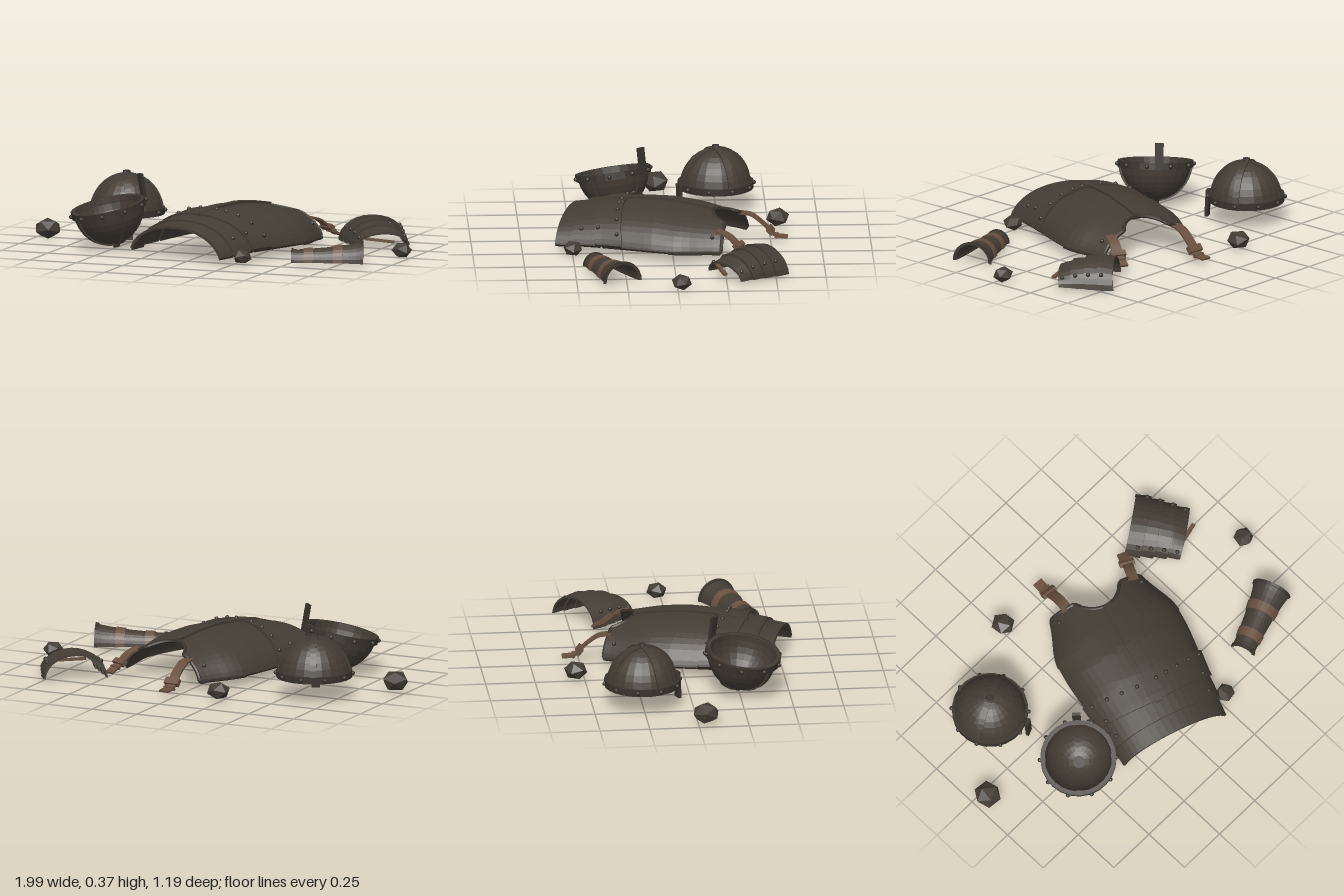
import * as THREE from 'three';

const mat = (name, color) => {
  const m = new THREE.MeshStandardMaterial({ color });
  m.name = name;
  m.flatShading = true;
  return m;
};

// Piecewise linear lookup through [x, y] pairs
const lookup = (keys, x) => {
  let i = 0;
  while (i < keys.length - 2 && x > keys[i + 1][0]) i++;
  const [x0, y0] = keys[i], [x1, y1] = keys[i + 1];
  return y0 + (y1 - y0) * THREE.MathUtils.clamp((x - x0) / (x1 - x0), 0, 1);
};

// Closed sheet: f(a, b, h) gives a point, a in -1..1, b in 0..1, h the height above the inner face
function sheet(f, na, nb, lo, hi) {
  const pos = [], idx = [], layer = (na + 1) * (nb + 1);
  for (const h of [hi, lo])
    for (let j = 0; j <= nb; j++)
      for (let i = 0; i <= na; i++) pos.push(...f(-1 + 2 * i / na, j / nb, h));
  const O = (i, j) => j * (na + 1) + i, I = (i, j) => O(i, j) + layer;
  const quad = (a, b, c, d) => idx.push(a, b, c, a, c, d);
  for (let j = 0; j < nb; j++)
    for (let i = 0; i < na; i++) {
      quad(O(i, j), O(i + 1, j), O(i + 1, j + 1), O(i, j + 1));
      quad(I(i, j + 1), I(i + 1, j + 1), I(i + 1, j), I(i, j));
    }
  for (let i = 0; i < na; i++) {
    quad(I(i, 0), I(i + 1, 0), O(i + 1, 0), O(i, 0));
    quad(O(i, nb), O(i + 1, nb), I(i + 1, nb), I(i, nb));
  }
  for (let j = 0; j < nb; j++) {
    quad(I(na, j), I(na, j + 1), O(na, j + 1), O(na, j));
    quad(O(0, j), O(0, j + 1), I(0, j + 1), I(0, j));
  }
  const g = new THREE.BufferGeometry();
  g.setAttribute('position', new THREE.Float32BufferAttribute(pos, 3));
  g.setIndex(idx);
  g.computeVertexNormals();
  return g;
}

function add(parent, name, geo, material, p = [0, 0, 0], r = [0, 0, 0]) {
  const m = new THREE.Mesh(geo, material);
  m.name = name;
  m.position.set(...p);
  m.rotation.set(...r);
  parent.add(m);
  return m;
}

function group(parent, name, p, yaw = 0) {
  const g = new THREE.Group();
  g.name = name;
  g.position.set(...p);
  g.rotation.y = yaw;
  parent.add(g);
  return g;
}

export function createModel() {
  const root = new THREE.Group();
  root.name = 'scatteredArmour';
  const iron = mat('darkIron', 0x433c33);
  const trim = mat('ironTrim', 0x38322b);
  const leather = mat('leather', 0x68503f);
  const rivetGeo = new THREE.IcosahedronGeometry(0.011, 1);
  const rivet = (parent, p) => add(parent, 'rivet', rivetGeo, trim, p);

  // Breastplate lying on its back face
  const chest = group(root, 'breastplate', [-0.063, 0, 0.5], -0.305);
  const halfWidth = [[0, 0.287], [0.1, 0.293], [0.25, 0.302], [0.35, 0.312], [0.5, 0.326], [0.62, 0.326],
    [0.68, 0.31], [0.74, 0.285], [0.8, 0.262], [0.86, 0.243]];
  const crown = [[0, 0.15], [0.1, 0.167], [0.2, 0.183], [0.35, 0.2], [0.5, 0.203], [0.65, 0.186], [0.75, 0.168], [0.86, 0.15]];
  const onChest = (t, v, h) => {
    const arch = Math.pow(1 - Math.pow(Math.abs(t) * 0.99, 2.2), 0.55);
    return [t * lookup(halfWidth, v) * (1 + h / 0.3), 0.022 + lookup(crown, v) * arch + h, -v];
  };
  const neckline = t => Math.abs(t) < 0.5 ? 0.745 + 0.36 * t * t : 0.82 + 0.03 * Math.abs(t);
  const chestPlate = (name, low, high, rows, lift, span = 1) =>
    add(chest, name, sheet((a, b, h) => {
      const t = Math.sin(a * Math.PI / 2) * span;
      return onChest(t, low(t) + (high(t) - low(t)) * b, h);
    }, span < 1 ? 2 : 24, rows, lift, lift + 0.012), iron);
  chestPlate('chestShell', t => 0.2 + 0.05 * t * t, neckline, 16, 0);
  chestPlate('waistPlate', t => 0.175 + 0.04 * t * t, t => 0.3 + 0.055 * t * t, 4, 0.01);
  chestPlate('middleLame', () => 0.085, t => 0.2 + 0.04 * t * t, 4, 0.001);
  chestPlate('lowerLame', () => 0, () => 0.1, 4, -0.008);
  chestPlate('centreRidge', () => 0.165, () => 0.745, 14, 0.013, 0.05);
  chestPlate('innerRidge', () => 0.21, () => 0.745, 14, -0.006, 0.07);
  const edge = [];
  for (const v of [0.6, 0.65, 0.7, 0.75, 0.8]) edge.push(onChest(1, v, 0.008));
  for (let i = 12; i >= -12; i--) {
    const t = Math.sin(i / 12 * Math.PI / 2);
    edge.push(onChest(t, neckline(t), 0.008));
  }
  for (const v of [0.8, 0.75, 0.7, 0.65, 0.6]) edge.push(onChest(-1, v, 0.008));
  const edgeCurve = new THREE.CatmullRomCurve3(edge.map(p => new THREE.Vector3(...p)), false, 'centripetal');
  add(chest, 'rolledEdge', new THREE.TubeGeometry(edgeCurve, 90, 0.01, 6), trim);
  for (const t of [-0.9, -0.68, -0.45, -0.2, 0.12, 0.3, 0.5, 0.72, 0.92])
    rivet(chest, onChest(t, 0.278 + 0.055 * t * t, 0.023));
  for (const t of [-0.85, 0.85]) {
    rivet(chest, onChest(t, 0.13, 0.014));
    rivet(chest, onChest(t, 0.22, 0.023));
    rivet(chest, onChest(t, 0.8, 0.014));
  }

  // Shoulder straps trailing from the breastplate
  const strap = (name, pts, width, buckleAt) => {
    const g = group(root, name, [0, 0, 0]);
    const curve = new THREE.CatmullRomCurve3(pts.map(p => new THREE.Vector3(...p)));
    const ribbon = (w, s, e, rows, lo, hi) => sheet((a, b, h) => {
      const k = s + (e - s) * b, p = curve.getPoint(k), d = curve.getTangent(k);
      const side = new THREE.Vector3(-d.z, 0, d.x).normalize();
      p.addScaledVector(side, a * w / 2).addScaledVector(side.cross(d), h);
      return p.toArray();
    }, 1, rows, lo, hi);
    add(g, 'strapBand', ribbon(width, 0, 1, 14, 0, 0.01), leather);
    add(g, 'buckle', ribbon(width + 0.026, buckleAt, buckleAt + 0.13, 2, -0.006, 0.02), leather);
    add(g, 'keeper', ribbon(width + 0.008, buckleAt + 0.2, buckleAt + 0.25, 1, -0.004, 0.014), leather);
  };
  strap('rightShoulderStrap', [[0.025, 0.145, -0.34], [0.035, 0.138, -0.4], [0.045, 0.085, -0.47], [0.05, 0.035, -0.52], [0.055, 0.025, -0.585]], 0.053, 0.56);
  strap('leftShoulderStrap', [[0.37, 0.145, -0.22], [0.4, 0.125, -0.275], [0.43, 0.075, -0.33], [0.455, 0.04, -0.385]], 0.053, 0.55);

  // Helmets: domed bowl, riveted rim, crossed ribs, knob and nose guard
  const profile = [];
  for (let i = 0; i <= 9; i++) profile.push([i / 9 * Math.PI / 2, 0]);
  for (let i = 9; i >= 0; i--) profile.push([i / 9 * Math.PI / 2, 0.012]);
  profile.push([0, 0]);
  const domeGeo = new THREE.LatheGeometry(profile.map(([p, d]) =>
    new THREE.Vector2(Math.max(0, (0.181 - d) * Math.cos(p)), (0.2 - d) * Math.sin(p))), 24);
  const rimGeo = new THREE.LatheGeometry([[0.169, 0], [0.191, 0], [0.191, 0.034], [0.174, 0.034], [0.169, 0]]
    .map(p => new THREE.Vector2(...p)), 24);
  const ribGeo = sheet((a, b, h) => [a * 0.016, (0.2 + h) * Math.sin(b * Math.PI), (0.181 + h) * Math.cos(b * Math.PI)], 1, 20, -0.016, 0.007);
  const helmet = (parent, name, p, yaw) => {
    const g = group(parent, name, p, yaw);
    add(g, 'dome', domeGeo, iron);
    add(g, 'rimBand', rimGeo, trim);
    for (const r of [0, Math.PI / 2]) add(g, 'crossRib', ribGeo, iron, [0, 0, 0], [0, r, 0]);
    add(g, 'topKnob', new THREE.CylinderGeometry(0.018, 0.032, 0.06, 8), trim, [0, 0.188, 0]);
    add(g, 'noseGuard', new THREE.BoxGeometry(0.042, 0.138, 0.016), trim, [0, -0.034, 0.204], [-0.05, 0, 0]);
    for (let i = 0; i < 10; i++) {
      const k = (i + 0.5) / 10 * Math.PI * 2;
      rivet(g, [0.193 * Math.sin(k), 0.018, 0.193 * Math.cos(k)]);
    }
    return g;
  };
  helmet(root, 'uprightHelmet', [-0.62, 0.108, -0.25], 0.42);
  const tipped = group(root, 'tippedHelmet', [-0.518, 0.23, 0.27]);
  tipped.rotation.set(0.14, 0, 0.17);
  const flipped = helmet(tipped, 'overturnedHelmet', [0, 0, 0], 0);
  flipped.rotation.set(Math.PI, -0.74, 0, 'YXZ');

  // Shoulder guard: each lame tucks under the one above it
  const guard = group(root, 'shoulderGuard', [0.757, 0.018, -0.245], 0.607);
  const guardCrown = [[0, 0.052], [0.06, 0.083], [0.13, 0.103], [0.2, 0.113], [0.28, 0.116]];
  const onGuard = (a, d, h) => {
    const k = a * Math.PI / 2;
    return [(0.12 + 0.13 * d + h) * Math.sin(k), (lookup(guardCrown, d) + h) * Math.cos(k), 0.012 * Math.cos(k) - d];
  };
  for (let i = 0; i < 4; i++) {
    const start = i * 0.066;
    add(guard, 'shoulderLame', sheet((a, b, h) => onGuard(a, start + b * 0.08, h + 0.009 - 0.013 * b), 14, 4, 0, 0.01), iron);
    for (const a of [-0.62, 0.62]) rivet(guard, onGuard(a, start + 0.022, 0.017));
  }
  add(root, 'looseStrap', new THREE.BoxGeometry(0.15, 0.012, 0.02), leather, [0.748, 0.05, -0.225], [0, 0.25, -0.1]);

  // Forearm guard with two leather bands
  const arm = group(root, 'forearmGuard', [0.519, 0.02, 0.4], -1.207);
  const armSize = [[0, 0.06], [0.12, 0.058], [0.5, 0.069], [0.85, 0.085], [1, 0.098]];
  const armSheet = (s, e, rows, lo, hi) => sheet((a, b, h) => {
    const k = a * Math.PI / 2, q = s + (e - s) * b, r = lookup(armSize, q) + h;
    return [r * Math.sin(k), r * Math.cos(k) * 1.02, -q * 0.36];
  }, 14, rows, lo, hi);
  add(arm, 'armShell', armSheet(0, 1, 10, -0.01, 0), iron);
  add(arm, 'flaredEdge', armSheet(0.96, 1, 1, -0.005, 0.005), trim);
  add(arm, 'wristEdge', armSheet(0, 0.04, 1, -0.005, 0.004), trim);
  for (const s of [0.17, 0.58]) add(arm, 'armBand', armSheet(s, s + 0.13, 2, -0.004, 0.005), leather);

  // Loose lumps scattered around the armour
  for (const [x, y, z, r, turn] of [[-0.93, 0.056, 0.04, 0.07, 0.4], [-0.23, 0.055, -0.545, 0.06, 1.1],
    [0.948, 0.041, -0.02, 0.052, 2], [0.295, 0.045, 0.5, 0.05, 2.7]]) {
    const lump = group(root, 'lump', [x, y, z], turn);
    lump.scale.y = 0.78;
    add(lump, 'lumpBody', new THREE.IcosahedronGeometry(r), iron, [0, 0, 0], [0.55, 0, 0]);
  }
  return root;
}
